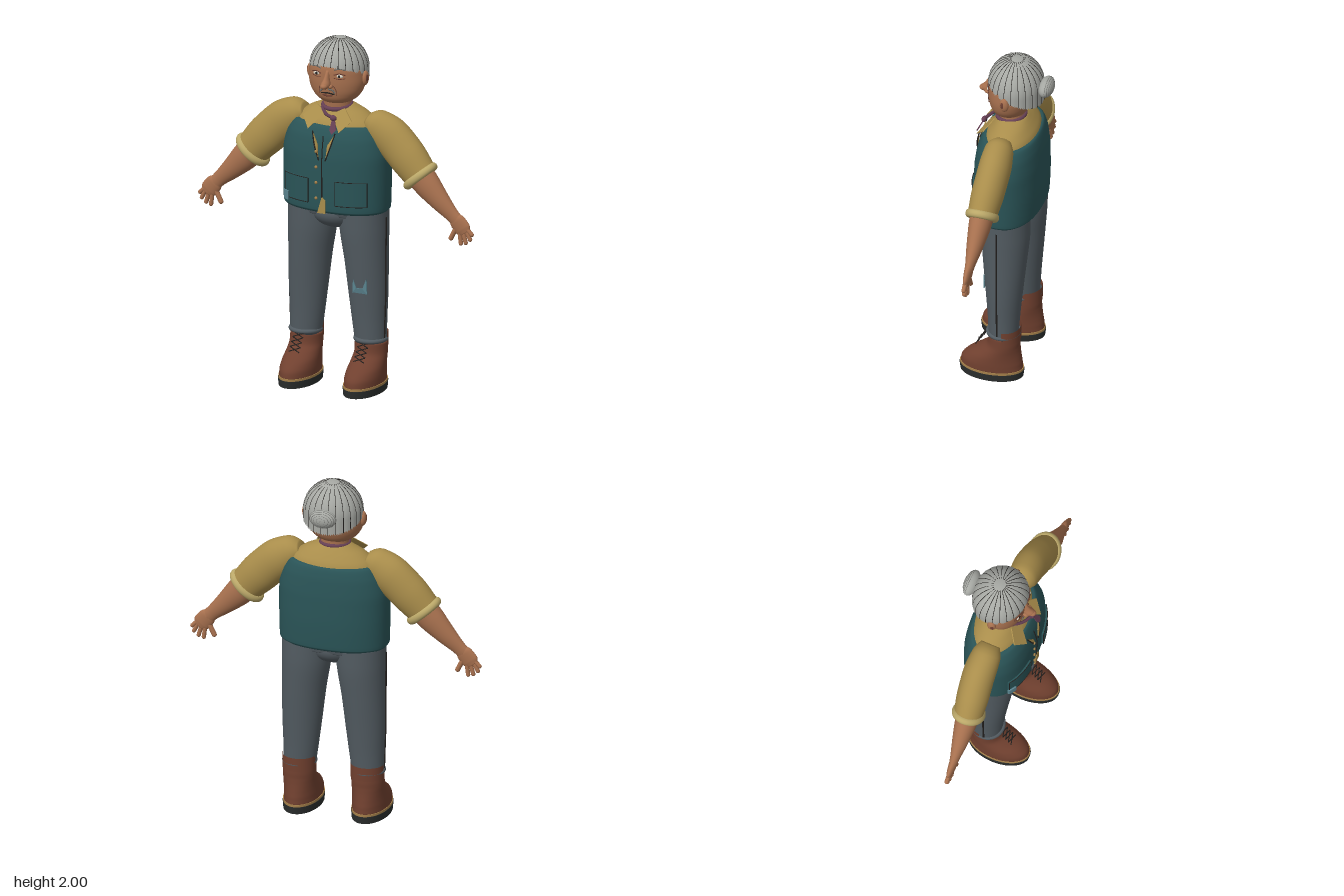
import * as THREE from 'three';
import { mergeVertices } from 'three/addons/utils/BufferGeometryUtils.js';

const V = (x, y, z) => new THREE.Vector3(x, y, z);
const mat = (color) => new THREE.MeshStandardMaterial({ color, side: THREE.DoubleSide });

// Smooth skin over oval sections [x, y, z, radius across, radius in z]; e < 1 makes them boxier
function loft(sections, e = 1, rows = 24, cols = 40) {
  const mid = new THREE.CatmullRomCurve3(sections.map((s) => V(s[0], s[1], s[2])));
  const rad = new THREE.CatmullRomCurve3(sections.map((s) => V(s[3], s[4], 0)));
  const bend = (v) => Math.sign(v) * Math.abs(v) ** e;
  const pos = [], idx = [];
  for (let i = 0; i <= rows; i++) {
    const t = i / rows, c = mid.getPoint(t), r = rad.getPoint(t), d = mid.getTangent(t).setZ(0).normalize();
    for (let j = 0; j < cols; j++) {
      const a = (j / cols) * Math.PI * 2, u = r.x * bend(Math.cos(a));
      pos.push(c.x + d.y * u, c.y - d.x * u, c.z + r.y * bend(Math.sin(a)));
    }
  }
  for (let i = 0; i < rows; i++) for (let j = 0; j < cols; j++) {
    const k = (j + 1) % cols, a = i * cols, b = a + cols;
    idx.push(a + j, b + j, a + k, a + k, b + j, b + k);
  }
  // End caps
  for (const [row, s] of [[0, sections[0]], [rows, sections.at(-1)]]) {
    const n = pos.length / 3, o = row * cols;
    pos.push(s[0], s[1], s[2]);
    for (let j = 0; j < cols; j++) {
      const k = (j + 1) % cols;
      if (row) idx.push(n, o + k, o + j); else idx.push(n, o + j, o + k);
    }
  }
  const g = new THREE.BufferGeometry();
  g.setAttribute('position', new THREE.Float32BufferAttribute(pos, 3));
  g.setIndex(idx);
  g.computeVertexNormals();
  return g;
}

// Front surface of the vest, used to lay trim on it
const vestZ = (x, y) => (y > 1.4 ? 0.19 - (y - 1.4) * 0.22 : 0.19) *
  Math.max(0, 1 - (Math.abs(x) / 0.315) ** 2.35) ** 0.425;
// Front surface of the face
const faceZ = (x, y) => 0.128 * Math.sqrt(Math.max(0, 1 - (x / 0.17) ** 2 - ((y - 1.79) / 0.27) ** 2));

// Point on the hair cap: pole on top, hem falling toward the back
function hairPoint(phi, v, lift = 1) {
  const edge = Math.acos((-0.033 + 0.065 * Math.sin(phi)) / 0.17), th = v * edge;
  const r = Math.sin(Math.min(th, Math.PI / 2)) * (1 + 0.015 * Math.abs(Math.cos(phi * 12))) * lift;
  return V(-Math.cos(phi) * r * 0.167, 1.83 + 0.17 * Math.cos(th) * (th < 1.57 ? lift : 1), -0.022 + Math.sin(phi) * r * 0.155);
}

export function createModel() {
  const model = new THREE.Group();
  const M = {
    skin: mat(0xa8714f), hair: mat(0xa6a8a3), shirt: mat(0xa98d4b), cuff: mat(0xbba869), vest: mat(0x2a5457),
    trousers: mat(0x525b61), boot: mat(0x70402f), sole: mat(0x2b2e2d), welt: mat(0xa5804a), dark: mat(0x24211f),
    lip: mat(0x6d3f32), tie: mat(0x664054), patch: mat(0x5b8590), white: mat(0xd8d2c4), grey: mat(0x70706c),
  };
  const add = (name, geo, m, p = [0, 0, 0]) => {
    const mesh = new THREE.Mesh(geo, m);
    mesh.name = name;
    mesh.position.set(...p);
    model.add(mesh);
    return mesh;
  };
  const ball = (name, m, p, r) => {
    const b = add(name, new THREE.SphereGeometry(1, 28, 18), m, p);
    b.scale.set(...r);
    return b;
  };
  const line = (name, pts, r, m, seg = 12) => add(name, new THREE.TubeGeometry(new THREE.CatmullRomCurve3(pts, false, 'centripetal'), seg, r, 5), m);
  // Thin flat panel, given a depth by a rule z(x, y)
  const panel = (name, pts, z, m) => {
    const g = new THREE.ExtrudeGeometry(new THREE.Shape(pts.map((p) => new THREE.Vector2(...p))), { depth: 0.006, bevelEnabled: false });
    const p = g.attributes.position;
    for (let i = 0; i < p.count; i++) p.setZ(i, p.getZ(i) + z(p.getX(i), p.getY(i)));
    g.computeVertexNormals();
    return add(name, g, m);
  };
  // Rectangular cloth piece bent over the vest
  const cloth = (name, x, y, w, h, off, m) => {
    const g = new THREE.BoxGeometry(w, h, 0.012, 10, 4, 1).translate(x, y, 0), p = g.attributes.position;
    for (let i = 0; i < p.count; i++) p.setZ(i, p.getZ(i) + off + vestZ(p.getX(i), p.getY(i)));
    g.computeVertexNormals();
    return add(name, g, m);
  };

  // Torso
  add('shirtBody', loft([[0, 1.3, 0, 0.29, 0.16], [0, 1.46, -0.005, 0.275, 0.158], [0, 1.54, -0.01, 0.235, 0.135],
    [0, 1.59, -0.012, 0.17, 0.1], [0, 1.62, -0.012, 0.1, 0.075], [0, 1.63, -0.012, 0.07, 0.06]]), M.shirt);
  add('vest', loft([[0, 1.035, 0.002, 0.3, 0.175], [0, 1.05, 0.002, 0.31, 0.185], [0, 1.2, 0, 0.313, 0.19], [0, 1.35, 0, 0.313, 0.187],
    [0, 1.46, -0.003, 0.29, 0.173], [0, 1.525, -0.008, 0.25, 0.148], [0, 1.53, -0.008, 0.22, 0.12]], 0.85, 30, 56), M.vest);
  const onVest = (x, y) => V(x, y, vestZ(x, y) + 0.003);
  line('vestOpening', [1.48, 1.36, 1.24, 1.12, 1.05].map((y) => onVest(0, y)), 0.003, M.dark);
  panel('shirtGap', [[-0.028, 1.035], [0.022, 1.035], [0.022, 1.11], [0, 1.13]], (x, y) => vestZ(x, y), M.shirt);
  for (const s of [-1, 1]) {
    panel('lapelGap', [[s * 0.065, 1.49], [s * 0.045, 1.42], [s * 0.022, 1.34], [s * 0.03, 1.43]], (x, y) => vestZ(x, y), M.shirt);
    line('lapelEdge', [[0.07, 1.5], [0.048, 1.42], [0.02, 1.34]].map(([x, y]) => onVest(s * x, y)), 0.004, M.dark);
    cloth('pocket', s * 0.168, 1.16, 0.17, 0.14, 0.004, M.vest);
    const rim = [[0.083, 1.23], [0.253, 1.23], [0.253, 1.09], [0.083, 1.09], [0.083, 1.23]];
    for (let i = 0; i < 4; i++) {
      const a = rim[i], b = rim[i + 1];
      line('pocketSeam', [0, 0.25, 0.5, 0.75, 1].map((t) => {
        const p = onVest(s * (a[0] + (b[0] - a[0]) * t), a[1] + (b[1] - a[1]) * t);
        return p.setZ(p.z + 0.008);
      }), 0.0022, M.dark);
    }
  }
  cloth('vestPatch', -0.24, 1.1, 0.04, 0.05, 0.014, M.patch);
  for (let i = 0; i < 4; i++) ball('button', M.welt, [-0.035, 1.12 + i * 0.09, vestZ(0.035, 1.2) + 0.006], [0.009, 0.009, 0.006]);

  // Collar and necktie
  const collarZ = (x, y) => 0.07 + (1.63 - y) * 0.85;
  for (const s of [-1, 1])
    panel('collarFlap', [[0.025, 1.595], [0.085, 1.625], [0.15, 1.57], [0.095, 1.51], [0.06, 1.55]].map(([x, y]) => [s * x, y]), collarZ, M.shirt);
  const band = add('neckband', new THREE.TorusGeometry(0.078, 0.012, 10, 36), M.tie, [0, 1.618, 0.005]);
  band.rotation.x = Math.PI / 2 + 0.12;
  line('tieStrap', [V(-0.06, 1.61, 0.075), V(-0.01, 1.59, 0.12), V(0.04, 1.585, 0.145)], 0.01, M.tie);
  ball('tieKnot', M.tie, [0.048, 1.582, 0.148], [0.02, 0.017, 0.014]);
  panel('tieBlade', [[0.042, 1.575], [0.058, 1.575], [0.08, 1.525], [0.058, 1.5], [0.04, 1.52]], (x, y) => 0.145 + (1.58 - y) * 0.5, M.tie);

  // Head and neck
  add('neck', loft([[0, 1.57, -0.01, 0.085, 0.075], [0, 1.63, 0, 0.078, 0.072], [0, 1.69, 0, 0.078, 0.075]], 1, 8), M.skin);
  add('head', loft([[0, 1.637, 0.015, 0.04, 0.04], [0, 1.648, 0.012, 0.085, 0.075], [0, 1.675, 0.008, 0.125, 0.102], [0, 1.72, 0.004, 0.155, 0.118],
    [0, 1.78, 0, 0.167, 0.127], [0, 1.84, 0, 0.163, 0.127], [0, 1.9, 0, 0.135, 0.11], [0, 1.95, 0, 0.08, 0.07]]), M.skin);
  const onFace = (x, y) => V(x, y, faceZ(x, y) + 0.003);
  add('noseBridge', loft([[0, 1.752, 0.14, 0.026, 0.028], [0, 1.772, 0.146, 0.025, 0.034], [0, 1.8, 0.132, 0.016, 0.026],
    [0, 1.845, 0.118, 0.01, 0.012]], 1, 12, 20), M.skin);
  ball('noseTip', M.skin, [0, 1.764, 0.165], [0.021, 0.017, 0.024]);
  for (const s of [-1, 1]) {
    ball('nostril', M.skin, [s * 0.023, 1.757, 0.135], [0.014, 0.012, 0.018]);
    ball('ear', M.skin, [s * 0.169, 1.79, -0.005], [0.018, 0.042, 0.026]);
    ball('earHollow', M.lip, [s * 0.179, 1.792, 0.001], [0.009, 0.024, 0.013]);
    ball('eye', M.white, [s * 0.07, 1.818, faceZ(0.07, 1.818) - 0.001], [0.021, 0.01, 0.007]);
    ball('iris', M.dark, [s * 0.07, 1.818, faceZ(0.07, 1.818) + 0.004], [0.008, 0.008, 0.004]);
    for (const [name, y, h, r, m] of [['upperLid', 1.824, 0.008, 0.003, M.lip], ['lowerLid', 1.806, -0.005, 0.002, M.lip], ['eyebrow', 1.852, 0.008, 0.004, M.grey]])
      line(name, [0.04, 0.07, 0.102].map((x, i) => onFace(s * x, y + (i === 1 ? h : 0))), r, m);
    line('cheekFold', [[0.032, 1.765], [0.05, 1.74], [0.053, 1.705]].map(([x, y]) => onFace(s * x, y)), 0.002, M.lip);
    line('moustache', [[0.006, 1.738], [0.028, 1.736], [0.045, 1.718]].map(([x, y]) => onFace(s * x, y)), 0.005, M.grey);
  }
  line('mouth', [[-0.04, 1.71], [0, 1.716], [0.04, 1.71]].map(([x, y]) => onFace(x, y)), 0.004, M.dark);
  line('lowerLip', [[-0.028, 1.702], [0, 1.698], [0.028, 1.702]].map(([x, y]) => onFace(x, y)), 0.005, M.lip);

  // Hair cap with strands, and bun
  let cap = new THREE.SphereGeometry(1, 96, 28);
  const uv = cap.attributes.uv.clone();
  for (let i = 0; i < uv.count; i++) {
    const p = hairPoint(Math.round(uv.getX(i) * 96 - 0.001) / 96 * Math.PI * 2, 1 - uv.getY(i));
    cap.attributes.position.setXYZ(i, p.x, p.y, p.z);
  }
  cap.deleteAttribute('uv');
  cap.deleteAttribute('normal');
  cap = mergeVertices(cap, 1e-5);
  cap.computeVertexNormals();
  add('hairCap', cap, M.hair);
  for (let k = 0; k < 24; k++)
    line('hairStrand', [0.12, 0.3, 0.5, 0.7, 0.85, 0.99].map((v) => hairPoint((k + 0.5) / 24 * Math.PI * 2, v, 1.001)), 0.0018, M.dark, 20);
  ball('bun', M.hair, [0, 1.842, -0.198], [0.078, 0.053, 0.042]);
  for (let k = 0; k < 6; k++) {
    const ring = add('bunStrand', new THREE.TorusGeometry(1, 0.025, 5, 40), M.grey, [0, 1.842, -0.198]);
    const a = 0.2 + k * 0.26;
    ring.scale.set(0.078 * Math.cos(a), 0.053 * Math.cos(a), 0.042);
    ring.position.z -= 0.042 * Math.sin(a);
  }

  // Arms and hands
  for (const s of [-1, 1]) {
    const limb = (secs) => loft(secs.map(([x, ...r]) => [s * x, ...r]));
    add('sleeve', limb([[0.19, 1.55, 0, 0.045, 0.055], [0.24, 1.532, 0, 0.092, 0.08], [0.335, 1.47, -0.002, 0.114, 0.09],
      [0.43, 1.38, 0.004, 0.113, 0.09], [0.525, 1.277, 0.012, 0.098, 0.08]]), M.shirt);
    const cuff = add('rolledCuff', new THREE.TorusGeometry(0.093, 0.024, 14, 40), M.cuff, [s * 0.518, 1.277, 0.012]);
    cuff.rotation.set(0, Math.PI / 2, 0);
    cuff.rotation.order = 'ZYX';
    cuff.rotation.z = s * -0.86;
    cuff.scale.x = 0.8;
    add('forearm', limb([[0.51, 1.29, 0.012, 0.085, 0.068], [0.57, 1.225, 0.014, 0.077, 0.06], [0.65, 1.145, 0.017, 0.058, 0.044],
      [0.72, 1.08, 0.019, 0.042, 0.027], [0.75, 1.05, 0.02, 0.04, 0.022]]), M.skin);
    add('palm', limb([[0.73, 1.07, 0.02, 0.036, 0.022], [0.755, 1.045, 0.02, 0.05, 0.022], [0.785, 1.01, 0.02, 0.05, 0.018], [0.8, 0.99, 0.02, 0.035, 0.013]]), M.skin);
    const fingers = [[0.785, 1.04, 0.84, 0.985], [0.8, 1.015, 0.83, 0.955], [0.785, 0.995, 0.803, 0.933], [0.765, 0.99, 0.773, 0.925], [0.745, 1.015, 0.712, 0.948]];
    fingers.forEach(([x0, y0, x1, y1], i) => {
      const len = Math.hypot(x1 - x0, y1 - y0);
      const f = add(i === 4 ? 'thumb' : 'finger', new THREE.CapsuleGeometry(i === 4 ? 0.014 : 0.012, len, 6, 14), M.skin, [s * (x0 + x1) / 2, (y0 + y1) / 2, 0.02]);
      f.rotation.z = Math.atan2(-s * (x1 - x0), y1 - y0);
    });
  }

  // Trousers
  ball('trouserSeat', M.trousers, [0, 1.01, 0.002], [0.15, 0.1, 0.14]);
  add('waist', loft([[0, 1.0, -0.004, 0.285, 0.13], [0, 1.08, 0, 0.29, 0.155]], 0.9, 6), M.trousers);
  for (const s of [-1, 1]) {
    add('trouserLeg', loft([[s * 0.2, 0.27, -0.012, 0.09, 0.082], [s * 0.192, 0.4, -0.012, 0.1, 0.09], [s * 0.185, 0.55, -0.012, 0.112, 0.103],
      [s * 0.173, 0.75, -0.012, 0.124, 0.122], [s * 0.16, 0.92, -0.012, 0.138, 0.136], [s * 0.156, 1.06, -0.01, 0.142, 0.138]]), M.trousers);
    line('sideSeam', [[0.3, 1.0], [0.299, 0.85], [0.298, 0.7], [0.297, 0.55], [0.292, 0.4], [0.289, 0.3]].map(([x, y]) => V(s * x, y, 0)), 0.005, M.dark);
    const hem = add('trouserHem', new THREE.TorusGeometry(0.085, 0.013, 10, 36), M.trousers, [s * 0.2, 0.286, -0.012]);
    hem.rotation.x = Math.PI / 2;

    // Boots
    const sole = add('sole', new THREE.CylinderGeometry(1, 0.97, 0.042, 48), M.sole, [s * 0.2, 0.021, 0.055]);
    sole.scale.set(0.106, 1, 0.185);
    const welt = add('welt', new THREE.CylinderGeometry(1, 1, 0.014, 48), M.welt, [s * 0.2, 0.048, 0.055]);
    welt.scale.set(0.104, 1, 0.182);
    add('boot', loft([[s * 0.2, 0.05, 0.055, 0.1, 0.178], [s * 0.2, 0.09, 0.053, 0.1, 0.173], [s * 0.2, 0.13, 0.038, 0.098, 0.152],
      [s * 0.2, 0.17, 0.01, 0.095, 0.118], [s * 0.2, 0.21, -0.013, 0.093, 0.092], [s * 0.199, 0.275, -0.018, 0.092, 0.086]]), M.boot);
    const collar = add('bootBack', new THREE.CylinderGeometry(1, 1, 0.08, 28, 1, true, Math.PI / 2, Math.PI), M.boot, [s * 0.199, 0.288, -0.025]);
    collar.scale.set(0.094, 1, 0.084);
    for (let k = 0; k < 4; k++) {
      const y = 0.185 + k * 0.024, z = (h) => 0.14 - (h - 0.185) * 0.68;
      for (const d of [-1, 1])
        line('lace', [V(s * 0.2 - d * 0.032, y, z(y)), V(s * 0.2 + d * 0.032, y + 0.024, z(y + 0.024))], 0.003, M.dark, 2);
    }
  }
  // Knee patch
  panel('kneePatch', [[0.14, 0.57], [0.23, 0.57], [0.226, 0.66], [0.205, 0.6], [0.165, 0.6], [0.145, 0.645]],
    (x, y) => -0.008 + 0.107 * Math.sqrt(Math.max(0, 1 - ((x - 0.183) / 0.118) ** 2)), M.patch);
  return model;
}
